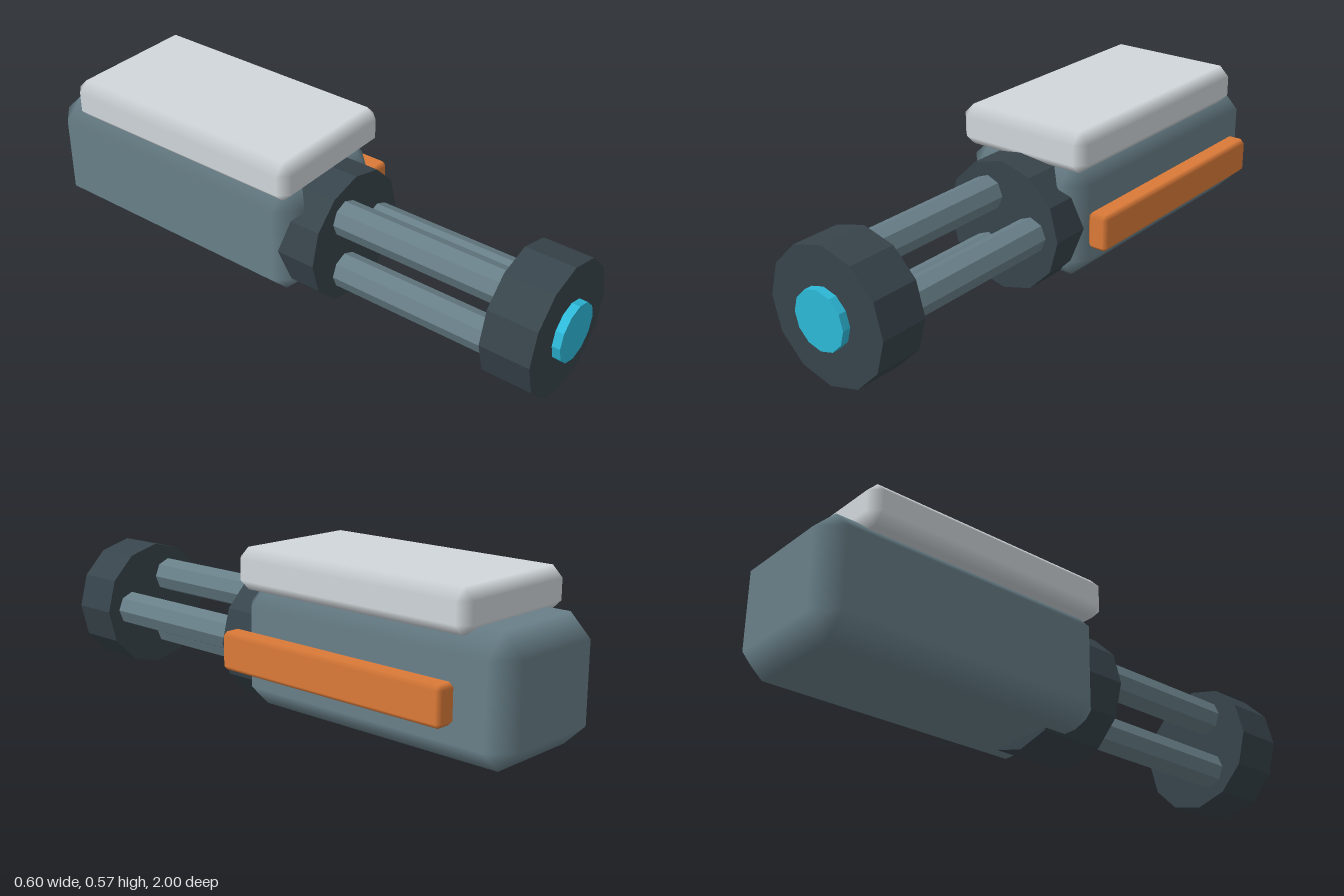
import * as THREE from 'three';
import { ConvexGeometry } from 'three/addons/geometries/ConvexGeometry.js';

const mat = (name, color, flatShading = false) => {
  const m = new THREE.MeshStandardMaterial({ color, flatShading });
  m.name = name;
  return m;
};

// Box with single-step bevels; normals follow the main faces so bevels shade softly
function bevelledBox(min, max, c) {
  const half = min.map((v, i) => (max[i] - v) / 2);
  const points = [];
  for (const sx of [-1, 1]) for (const sy of [-1, 1]) for (const sz of [-1, 1]) {
    for (let axis = 0; axis < 3; axis++) {
      const p = [sx, sy, sz].map((s, i) => s * (i === axis ? half[i] : half[i] - c));
      points.push(new THREE.Vector3(...p));
    }
  }
  const geo = new ConvexGeometry(points);
  const pos = geo.attributes.position;
  for (let v = 0; v < pos.count; v++) {
    const p = [pos.getX(v), pos.getY(v), pos.getZ(v)];
    const n = p.map((q, i) => (Math.abs(Math.abs(q) - half[i]) < 1e-4 ? Math.sign(q) : 0));
    geo.attributes.normal.setXYZ(v, ...n);
  }
  geo.translate(...min.map((v, i) => (v + max[i]) / 2));
  return geo;
}

// Faceted cylinder lying along z
function rod(x, y, radius, z0, z1, sides) {
  return new THREE.CylinderGeometry(radius, radius, z1 - z0, sides)
    .rotateX(Math.PI / 2)
    .translate(x, y, (z0 + z1) / 2);
}

export function createModel() {
  const group = new THREE.Group();
  group.name = 'rotaryBarrelUnit';

  const steel = mat('slateSteel', 0x687f88);
  const steelFlat = steel.clone();
  steelFlat.flatShading = true;
  const dark = mat('darkMetal', 0x37444b, true);
  const pale = mat('paleGrey', 0xd0d6da);
  const orange = mat('orange', 0xdb7a38);
  const cyan = mat('cyanGlow', 0x2db9d8, true);

  const add = (name, geo, material) => {
    const mesh = new THREE.Mesh(geo, material);
    mesh.name = name;
    group.add(mesh);
  };

  // Housing, top cover and side strip
  add('housing', bevelledBox([-0.285, 0.038, -1], [0.203, 0.455, 0.09], 0.073), steel);
  add('topCover', bevelledBox([-0.3, 0.433, -0.86], [0.217, 0.575, 0.088], 0.036), pale);
  add('sideStrip', bevelledBox([0.222, 0.181, -0.84], [0.299, 0.31, 0.062], 0.015), orange);

  // Collars and muzzle light share the barrel axis
  const cx = -0.041, cy = 0.23;
  add('rearCollar', rod(cx, cy, 0.23, -0.065, 0.175, 12), dark);
  add('frontCollar', rod(cx, cy, 0.23, 0.8, 0.972, 12), dark);
  add('muzzleLight', rod(cx, cy, 0.1, 0.94, 1, 12), cyan);

  // Three barrels around the axis
  for (let i = 0; i < 3; i++) {
    const a = (i * Math.PI * 2) / 3;
    const x = cx + 0.12 * Math.cos(a), y = cy + 0.12 * Math.sin(a);
    add('barrel' + (i + 1), rod(x, y, 0.062, 0.1, 0.85, 8), steelFlat);
  }
  return group;
}
